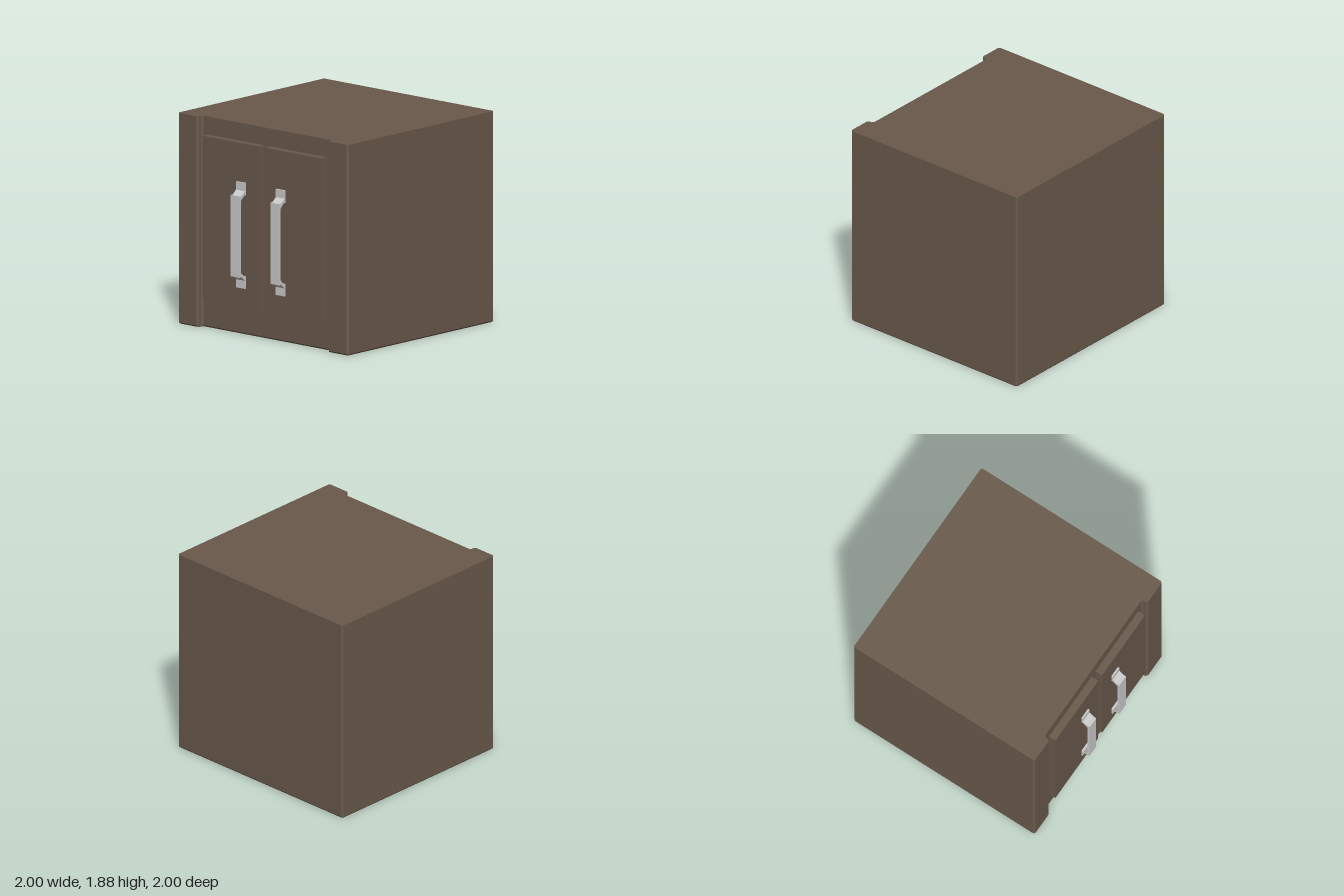
import * as THREE from 'three';

const wood = new THREE.MeshStandardMaterial({ color: 0x6a594b });
const metal = new THREE.MeshStandardMaterial({ color: 0xcccccc });

const polygon = (pts) => new THREE.Shape(pts.map(([a, b]) => new THREE.Vector2(a, b)));

function part(name, geometry, material) {
  const mesh = new THREE.Mesh(geometry, material);
  mesh.name = name;
  return mesh;
}

// Cabinet: mirrored floor plan raised to full height, chamfered along the bottom edge
function cabinetGeometry() {
  const half = [
    [0.75, 0.845], [0.765, 0.86], [0.765, 0.885], [0.78, 0.9],
    [0.985, 0.9], [1, 0.885], [1, -0.985], [0.985, -1],
  ];
  const plan = [...half, ...half.map(([x, z]) => [-x, z]).reverse()];
  const g = new THREE.ExtrudeGeometry(polygon(plan.map(([x, z]) => [x, -z])), {
    depth: 1.88, steps: 2, bevelEnabled: false,
  });
  g.rotateX(-Math.PI / 2);
  const p = g.attributes.position;
  for (let i = 0; i < p.count; i++) {
    const y = p.getY(i);
    if (y < 0.1) {
      p.setX(i, p.getX(i) * 0.99);
      p.setZ(i, (p.getZ(i) + 0.05) * 0.99 - 0.05);
    } else if (y < 1.5) p.setY(i, 0.012);
  }
  g.computeVertexNormals();
  return g;
}

// Handle: bent strap profile in (z, y), symmetric about its middle, extruded across x
function handleGeometry() {
  const mid = 0.9025;
  const outer = [[0.915, 0.4725], [0.93, 0.4725], [0.93, 0.4], [0.973, 0.3625], [1, 0.3625]];
  const inner = [[0.98, 0.3225], [0.935, 0.3625], [0.915, 0.3625]];
  const up = ([z, d]) => [z, mid + d];
  const down = ([z, d]) => [z, mid - d];
  const profile = [
    ...outer.map(up), ...outer.map(down).reverse(),
    ...inner.map(down).reverse(), ...inner.map(up),
  ];
  const g = new THREE.ExtrudeGeometry(polygon(profile), { depth: 0.104, bevelEnabled: false });
  return g.rotateY(-Math.PI / 2).translate(0.052, 0, 0);
}

export function createModel() {
  const model = new THREE.Group();
  model.name = 'cabinet';
  model.add(part('cabinetBody', cabinetGeometry(), wood));

  // Two raised doors, each with a handle near the inner edge
  const sides = [['left', 0.37, 0.23], ['right', -0.36, -0.237]];
  for (const [side, doorX, handleX] of sides) {
    const door = part(side + 'Door', new THREE.BoxGeometry(0.67, 1.46, 0.075), wood);
    door.position.set(doorX, 0.99, 0.8765);
    const handle = part(side + 'Handle', handleGeometry(), metal);
    handle.position.x = handleX;
    model.add(door, handle);
  }
  return model;
}
